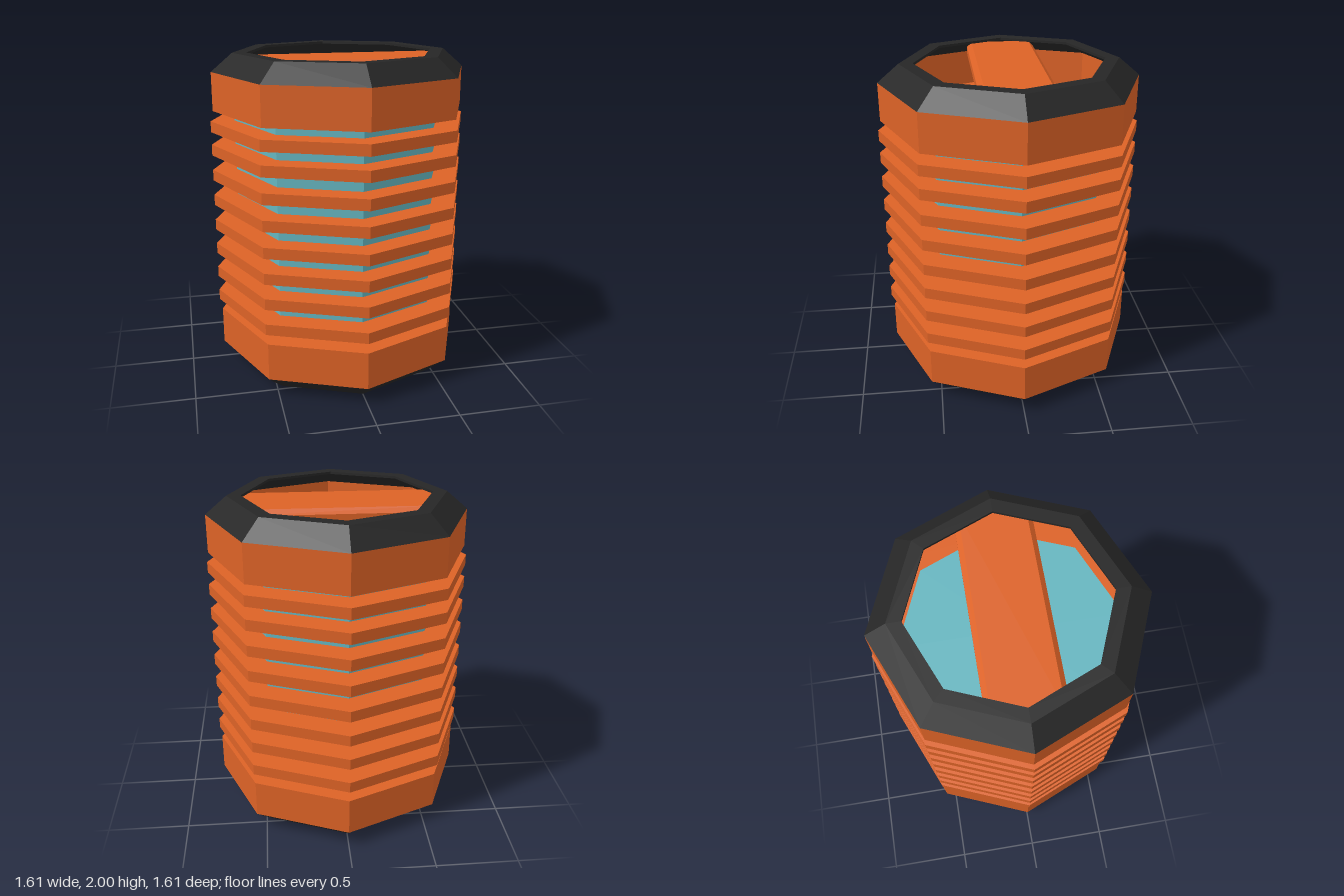
import * as THREE from 'three';

const orange = new THREE.MeshStandardMaterial({ color: 0xdc6226 });
const teal = new THREE.MeshStandardMaterial({ color: 0x65b5bf });
const black = new THREE.MeshStandardMaterial({ color: 0x262626 });

// Faceted mesh with hard edges
function faceted(name, geometry, material) {
  const g = geometry.index ? geometry.toNonIndexed() : geometry;
  g.computeVertexNormals();
  const mesh = new THREE.Mesh(g, material);
  mesh.name = name;
  return mesh;
}

// Closed [radius, y] profile swept into an eight-sided ring
function octagon(name, profile, material) {
  const pts = [...profile, profile[0]].map(([r, y]) => new THREE.Vector2(r, y));
  return faceted(name, new THREE.LatheGeometry(pts, 8), material);
}

// One open end: cup with floor rim, bevelled black cap and cross handle
function createEnd(name) {
  const end = new THREE.Group();
  end.name = name;
  end.add(octagon('endShell', [
    [0.63, 1.655], [0.79, 1.655], [0.79, 1.89], [0.78, 1.89], [0.78, 1.665], [0.63, 1.665],
  ], orange));
  end.add(octagon('rimCap', [
    [0.79, 1.89], [0.66, 2], [0.575, 2], [0.575, 1.985], [0.65, 1.985], [0.775, 1.89],
  ], black));

  // Handle bar, bevelled along its outer edges
  const section = new THREE.Shape([
    [-0.22, 0], [0.22, 0], [0.22, 0.05], [0.19, 0.08], [-0.19, 0.08], [-0.22, 0.05],
  ].map(([x, y]) => new THREE.Vector2(x, y)));
  const bar = new THREE.ExtrudeGeometry(section, { depth: 1.24, bevelEnabled: false });
  bar.translate(0, 0, -0.62).rotateY(Math.PI / 2).translate(0, 1.885, 0);
  end.add(faceted('handleBar', bar, orange));
  return end;
}

export function createModel() {
  const model = new THREE.Group();
  model.name = 'canister';

  // Inner core, very slightly off centre
  const core = faceted('core', new THREE.CylinderGeometry(0.653, 0.653, 1.34, 8), teal);
  core.position.set(-0.007, 1, 0.007);
  model.add(core);

  // Cooling fins
  [0.45, 0.612, 0.772, 0.932, 1.095, 1.255, 1.415, 1.56].forEach((y, i) => {
    const fin = octagon(`fin${i + 1}`, [
      [0.62, -0.034], [0.803, -0.034], [0.803, 0.034], [0.62, 0.034],
    ], orange);
    fin.position.set(-0.003, y, 0.003);
    model.add(fin);
  });

  // Matching ends, the lower one turned over
  const bottom = createEnd('bottomEnd');
  bottom.rotation.x = Math.PI;
  bottom.position.y = 2;
  model.add(createEnd('topEnd'), bottom);
  return model;
}
